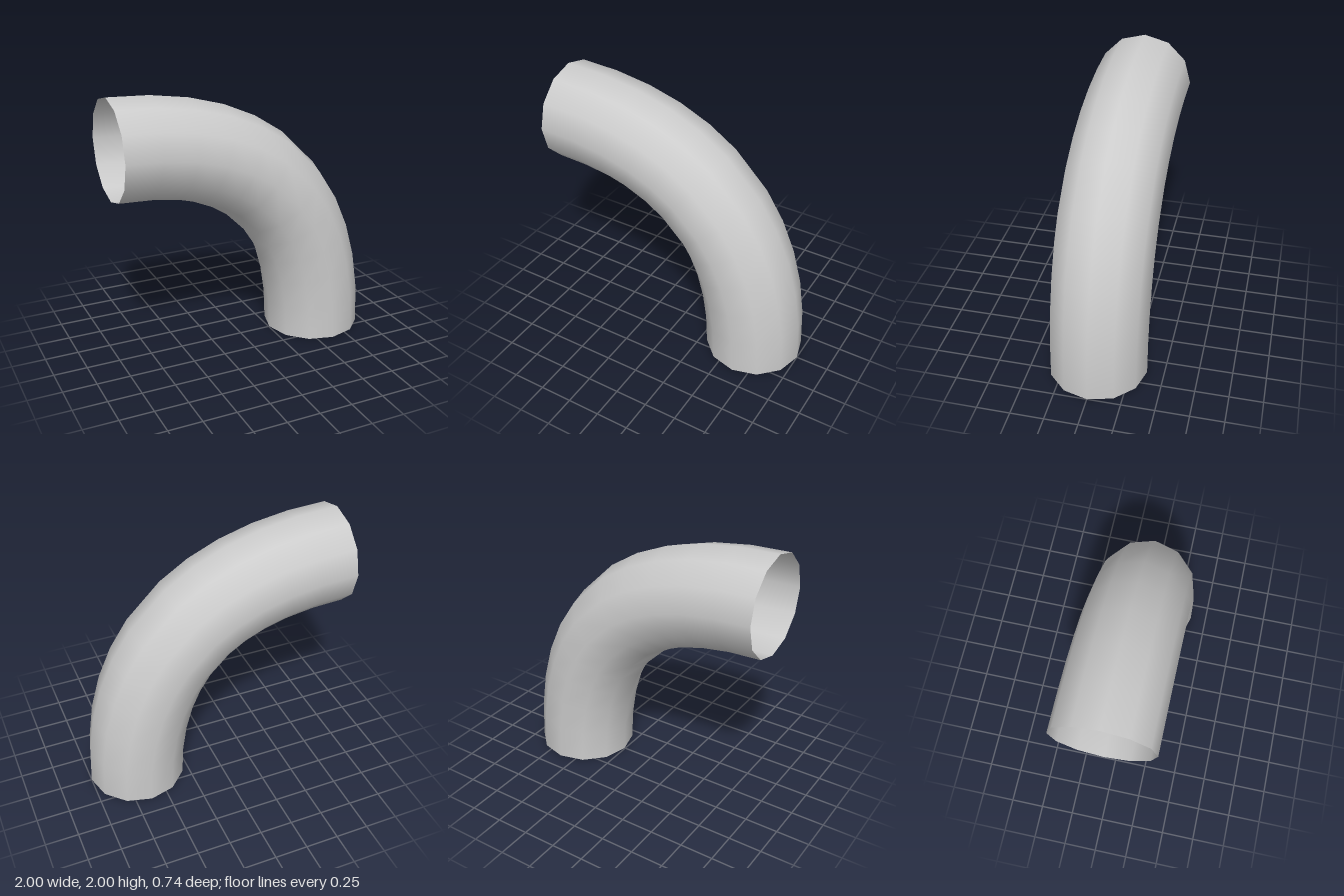
import * as THREE from 'three';

const BEND = 1.628;    // reach of the centre line
const RADIUS = 0.372;  // pipe radius
const RINGS = 11;
const SIDES = 12;
const STEP = 0.0873;   // curve parameter between rings, leaving a longer middle span

export function createModel() {
  const group = new THREE.Group();
  group.name = 'pipeElbow';

  // Centre line: horizontal opening on the right, sweeping down to the ground
  const path = new THREE.QuadraticBezierCurve3(
    new THREE.Vector3(-1, BEND, 0),
    new THREE.Vector3(BEND - 1, BEND, 0),
    new THREE.Vector3(BEND - 1, 0, 0)
  );
  // Even ring spacing from both ends, mirrored about the middle
  path.getUtoTmapping = (u) => {
    const i = Math.round(u * RINGS);
    return i < RINGS / 2 ? i * STEP : 1 - (RINGS - i) * STEP;
  };

  // Open-ended bent pipe, visible inside and out
  const pipe = new THREE.Mesh(
    new THREE.TubeGeometry(path, RINGS, RADIUS, SIDES, false),
    new THREE.MeshStandardMaterial({ color: 0xcccccc, side: THREE.DoubleSide })
  );
  pipe.name = 'bentPipe';
  group.add(pipe);
  return group;
}
